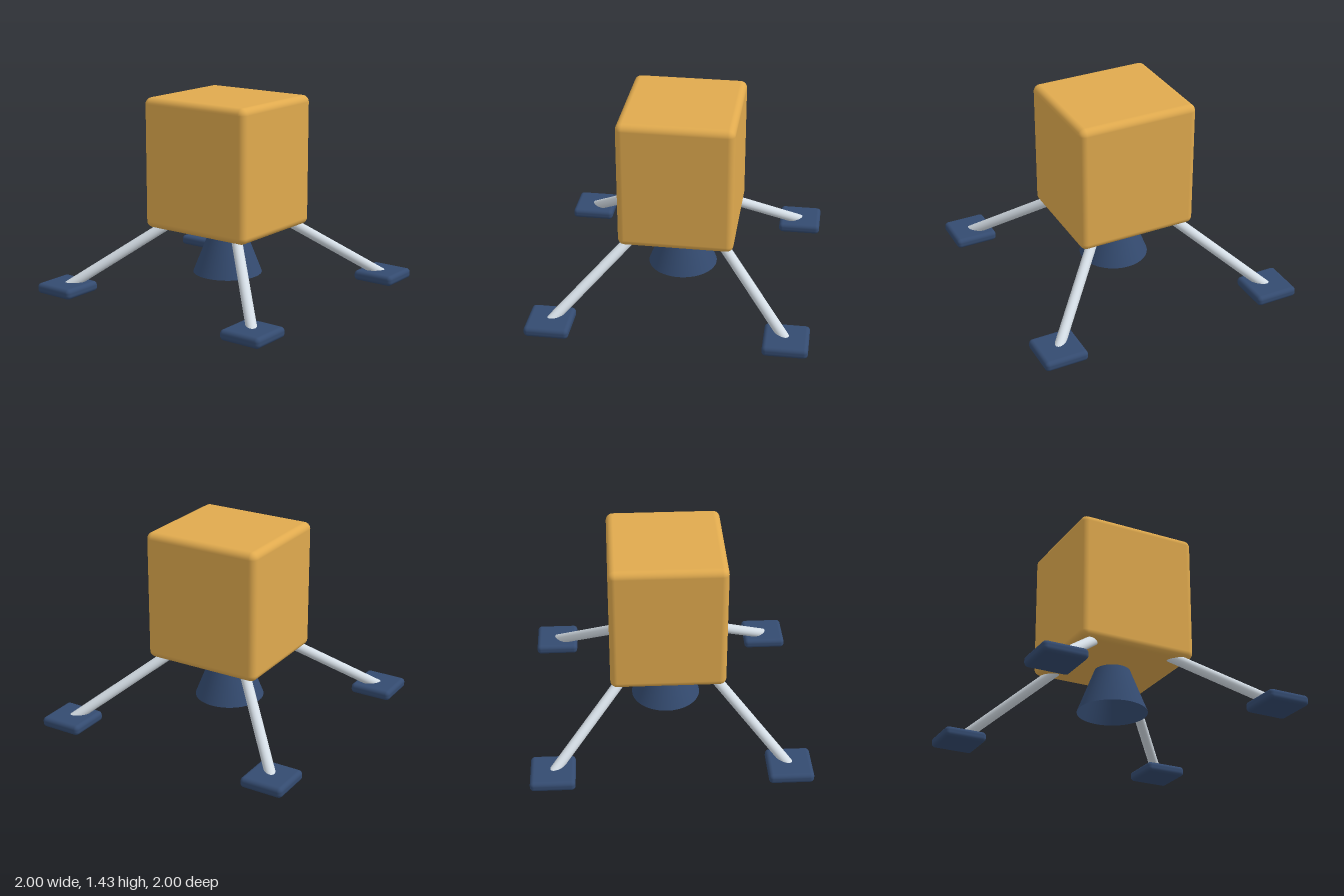
import * as THREE from 'three';
import { RoundedBoxGeometry } from 'three/addons/geometries/RoundedBoxGeometry.js';

const gold = new THREE.MeshStandardMaterial({ color: 0xe0aa4e });
const navy = new THREE.MeshStandardMaterial({ color: 0x344b70 });
const navyThin = new THREE.MeshStandardMaterial({ color: 0x344b70, side: THREE.DoubleSide });
const silver = new THREE.MeshStandardMaterial({ color: 0xd3dce4 });

function addMesh(parent, name, geometry, material, x = 0, y = 0, z = 0) {
  const mesh = new THREE.Mesh(geometry, material);
  mesh.name = name;
  mesh.position.set(x, y, z);
  parent.add(mesh);
  return mesh;
}

// Straight round bar between two points
function addStrut(parent, name, from, to, radius) {
  const dir = to.clone().sub(from);
  const mid = from.clone().add(to).multiplyScalar(0.5);
  const bar = addMesh(parent, name, new THREE.CylinderGeometry(radius, radius, dir.length(), 24), silver, mid.x, mid.y, mid.z);
  bar.quaternion.setFromUnitVectors(new THREE.Vector3(0, 1, 0), dir.normalize());
}

export function createModel() {
  const lander = new THREE.Group();
  lander.name = 'lander';

  // Rounded main body
  addMesh(lander, 'body', new RoundedBoxGeometry(0.9, 0.965, 0.836, 4, 0.05), gold, 0, 0.947, 0);

  // Open engine bell, just below the body
  addMesh(lander, 'engineBell', new THREE.CylinderGeometry(0.13, 0.256, 0.322, 40, 1, true), navyThin, 0, 0.274, 0);

  // Four splayed legs, each with a square foot pad
  for (const sx of [-1, 1]) {
    for (const sz of [-1, 1]) {
      const leg = new THREE.Group();
      leg.name = `${sz > 0 ? 'front' : 'back'}${sx > 0 ? 'Left' : 'Right'}Leg`;
      addStrut(leg, 'strut',
        new THREE.Vector3(sx * 0.3, 0.5, sz * 0.3),
        new THREE.Vector3(sx * 0.84, 0.042, sz * 0.84), 0.038);
      addMesh(leg, 'footPad', new RoundedBoxGeometry(0.32, 0.076, 0.32, 4, 0.03), navy, sx * 0.84, 0.038, sz * 0.84);
      lander.add(leg);
    }
  }
  return lander;
}
